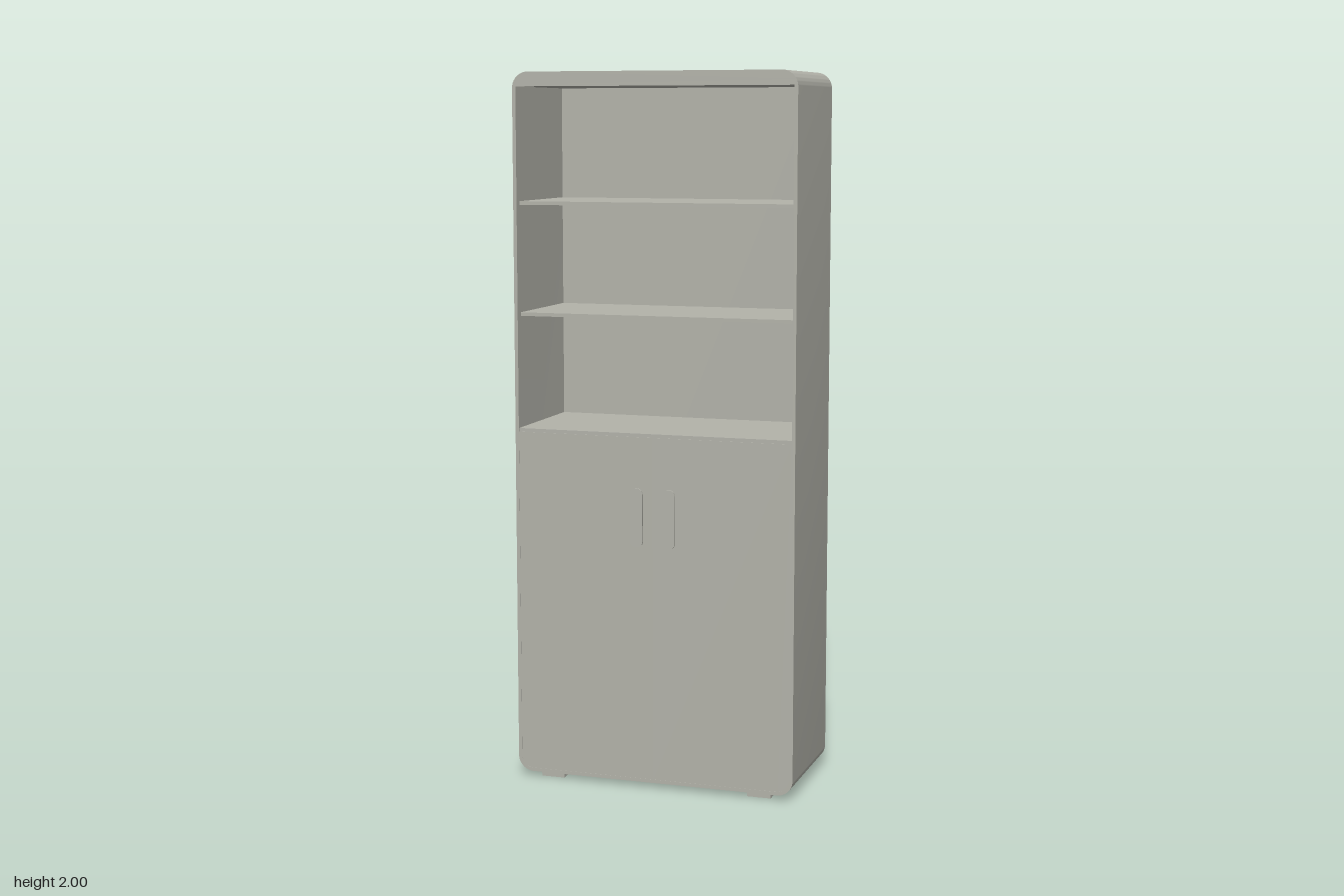
import * as THREE from 'three';
import { toCreasedNormals } from 'three/addons/utils/BufferGeometryUtils.js';

const FRONT = 0.183, BACK = -0.187;

// Traces a rectangle with separate top and bottom corner radii.
function roundedRect(path, x0, x1, y0, y1, [tl, tr, br, bl]) {
  path.moveTo(x0 + bl, y0);
  path.lineTo(x1 - br, y0);
  if (br) path.absarc(x1 - br, y0 + br, br, -Math.PI / 2, 0);
  path.lineTo(x1, y1 - tr);
  if (tr) path.absarc(x1 - tr, y1 - tr, tr, 0, Math.PI / 2);
  path.lineTo(x0 + tl, y1);
  if (tl) path.absarc(x0 + tl, y1 - tl, tl, Math.PI / 2, Math.PI);
  path.lineTo(x0, y0 + bl);
  if (bl) path.absarc(x0 + bl, y0 + bl, bl, Math.PI, Math.PI * 1.5);
  return path;
}

export function createModel() {
  const model = new THREE.Group();
  model.name = 'cabinet';
  const paint = new THREE.MeshStandardMaterial({ color: 0xb2b2a9 });
  paint.name = 'warm grey paint';

  function add(name, geometry, x = 0, y = 0, z = 0) {
    const mesh = new THREE.Mesh(geometry, paint);
    mesh.name = name;
    mesh.position.set(x, y, z);
    model.add(mesh);
  }
  function extrude(shape, depth) {
    const g = new THREE.ExtrudeGeometry(shape, { depth, bevelEnabled: false, curveSegments: 10 });
    return toCreasedNormals(g, 0.6);
  }

  // Outer shell with a thin rim, thicker at the top
  const outline = () => roundedRect(new THREE.Shape(), -0.407, 0.407, 0.015, 2, [0.045, 0.045, 0.045, 0.045]);
  const shell = outline();
  shell.holes.push(roundedRect(new THREE.Path(), -0.397, 0.397, 0.025, 1.96, [0, 0, 0.036, 0.036]));
  add('shell', extrude(shell, FRONT - BACK - 0.015), 0, 0, BACK + 0.015);
  add('backPanel', extrude(outline(), 0.015), 0, 0, BACK);

  // Open shelves, slightly set back from the front
  for (const y of [1.64, 1.33]) {
    add('shelf', new THREE.BoxGeometry(0.794, 0.01, 0.332), 0, y, -0.006);
  }
  add('cupboardTop', new THREE.BoxGeometry(0.794, 0.01, 0.352), 0, 1.005, 0.004);

  for (const side of [-1, 1]) {
    const sideName = side > 0 ? 'left' : 'right';

    // Door with a rounded lower outer corner
    const door = roundedRect(new THREE.Shape(),
      side > 0 ? 0 : -0.397, side > 0 ? 0.397 : 0, 0.025, 1,
      side > 0 ? [0, 0, 0.036, 0] : [0, 0, 0, 0.036]);
    add(sideName + 'Door', extrude(door, 0.014), 0, 0, FRONT - 0.015);

    // Pill-shaped handle
    const handle = roundedRect(new THREE.Shape(), -0.018, 0.018, 0.69, 0.857, [0.017, 0.017, 0.017, 0.017]);
    add(sideName + 'Handle', extrude(handle, 0.006), side * 0.047, 0, FRONT - 0.002);

    // Runner foot
    add(sideName + 'Foot', new THREE.BoxGeometry(0.068, 0.016, 0.34), side * 0.307, 0.008, 0);
  }
  return model;
}
